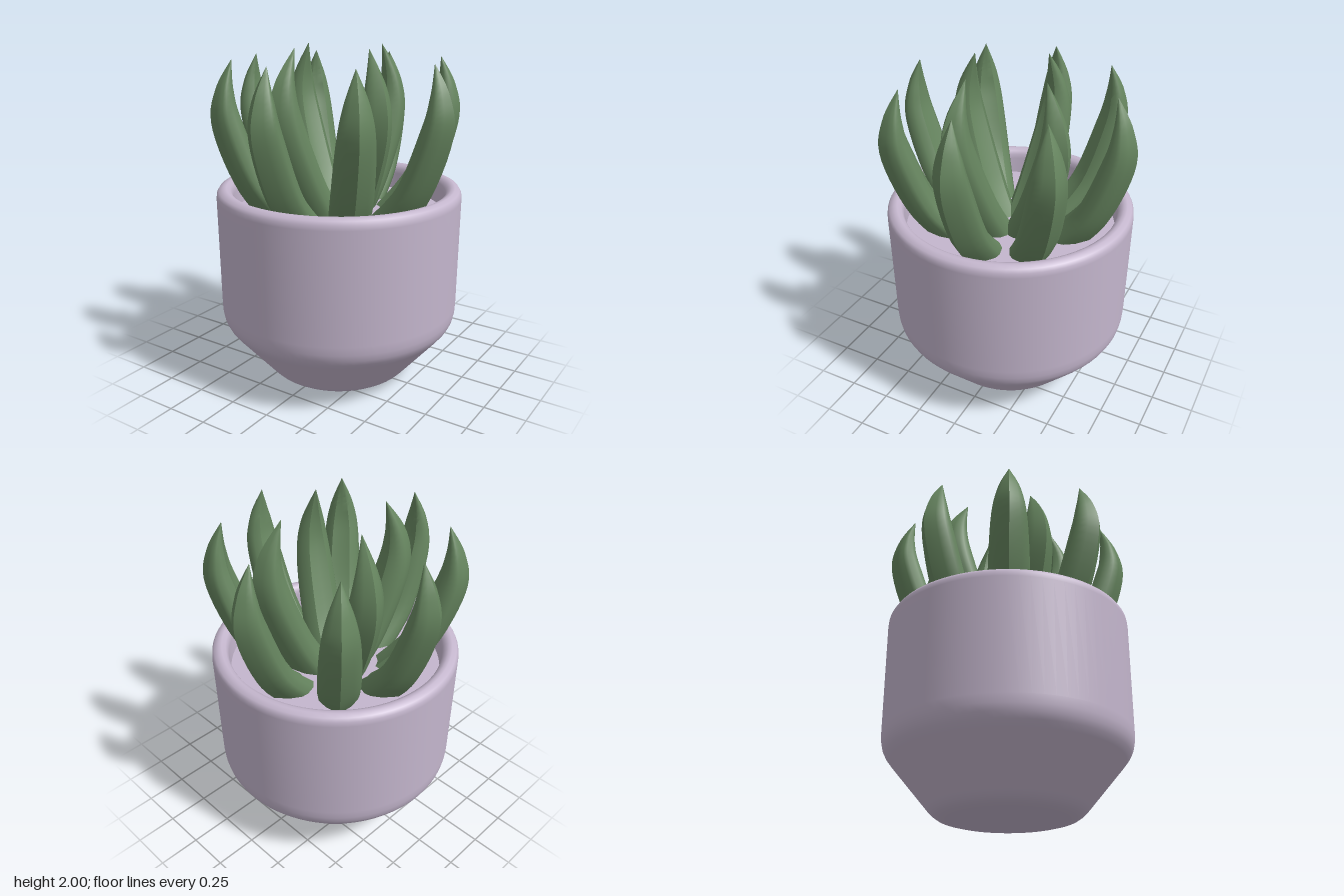
import * as THREE from 'three';
import { toCreasedNormals } from 'three/addons/utils/BufferGeometryUtils.js';

const potMaterial = new THREE.MeshStandardMaterial({ color: 0xc4b6cd });
const leafMaterial = new THREE.MeshStandardMaterial({ color: 0x66855f, side: THREE.DoubleSide });

const vectors = (pairs) => pairs.map(([x, y]) => new THREE.Vector2(x, y));

// Half of a leaf cross-section (outward, sideways), from outer keel to inner groove
const HALF_SECTION = [[1, 0], [0.55, 0.6], [0.1, 0.95], [-0.2, 1], [-0.65, 0.85], [-0.95, 0.5], [-0.86, 0]];
const SECTION = [...HALF_SECTION, ...HALF_SECTION.slice(1, -1).reverse().map(([n, s]) => [n, -s])];

// Curved leaf leaning towards +x: spine is (radius, height), sizes is (half thickness, half width)
function leafGeometry(spine, sizes, steps = 24) {
  const path = new THREE.SplineCurve(vectors(spine));
  const size = new THREE.SplineCurve(vectors(sizes));
  const count = SECTION.length;
  const positions = [];
  const indices = [];
  for (let i = 0; i <= steps; i++) {
    const t = i / steps;
    const p = path.getPoint(t);
    const tangent = path.getTangent(t);
    const { x: thick, y: wide } = size.getPoint(t);
    for (const [n, s] of SECTION) {
      positions.push(p.x + tangent.y * n * thick, p.y - tangent.x * n * thick, s * wide);
    }
    if (i === steps) break;
    for (let j = 0; j < count; j++) {
      const a = i * count + j;
      const b = i * count + (j + 1) % count;
      indices.push(a, a + count, b, b, a + count, b + count);
    }
  }
  const geometry = new THREE.BufferGeometry();
  geometry.setAttribute('position', new THREE.Float32BufferAttribute(positions, 3));
  geometry.setIndex(indices);
  return toCreasedNormals(geometry, 0.7);
}

// One ring of leaves, each turned towards its (x, z) direction
function leafRing(name, geometry, directions) {
  const ring = new THREE.Group();
  ring.name = name + 's';
  for (const [x, z] of directions) {
    const leaf = new THREE.Mesh(geometry, leafMaterial);
    leaf.name = name;
    leaf.rotation.y = -Math.atan2(z, x);
    ring.add(leaf);
  }
  return ring;
}

export function createModel() {
  const model = new THREE.Group();
  model.name = 'pottedSucculent';

  // Pot: flat foot, tapered base, straight wall, rounded rim and inner wall
  const potProfile = vectors([
    [0, 0], [0.31, 0], [0.36, 0.005], [0.4, 0.016], [0.43, 0.036], [0.455, 0.062],
    [0.67, 0.315], [0.695, 0.347], [0.712, 0.38], [0.721, 0.42], [0.724, 0.47],
    [0.73, 1.13], [0.727, 1.158], [0.715, 1.178], [0.69, 1.19],
    [0.67, 1.19], [0.648, 1.178], [0.636, 1.158], [0.632, 1.13], [0.625, 1.0],
  ]);
  const pot = new THREE.Mesh(new THREE.LatheGeometry(potProfile, 72), potMaterial);
  pot.name = 'pot';
  model.add(pot);

  // Soil surface inside the rim
  const soil = new THREE.Mesh(new THREE.CircleGeometry(0.632, 72), potMaterial);
  soil.name = 'soil';
  soil.rotation.x = -Math.PI / 2;
  soil.position.y = 1.03;
  model.add(soil);

  // Eight wide outer leaves
  const outerLeaf = leafGeometry(
    [[0.3, 0.95], [0.51, 1.2], [0.645, 1.55], [0.655, 1.75], [0.61, 1.93]],
    [[0.1, 0.11], [0.095, 0.12], [0.09, 0.105], [0.055, 0.07], [0.001, 0.001]]);
  model.add(leafRing('outerLeaf', outerLeaf, [
    [-0.02, -0.73], [0.53, -0.51], [0.73, 0.01], [0.48, 0.55],
    [-0.05, 0.73], [-0.55, 0.48], [-0.73, 0], [-0.54, -0.5],
  ]));

  // Four taller inner leaves
  const innerLeaf = leafGeometry(
    [[0.1, 0.95], [0.24, 1.2], [0.37, 1.55], [0.378, 1.78], [0.3, 2]],
    [[0.11, 0.11], [0.11, 0.12], [0.105, 0.105], [0.065, 0.07], [0.001, 0.001]]);
  model.add(leafRing('innerLeaf', innerLeaf, [
    [0.2, -0.44], [0.45, 0.2], [-0.17, 0.44], [-0.46, -0.16],
  ]));

  return model;
}
